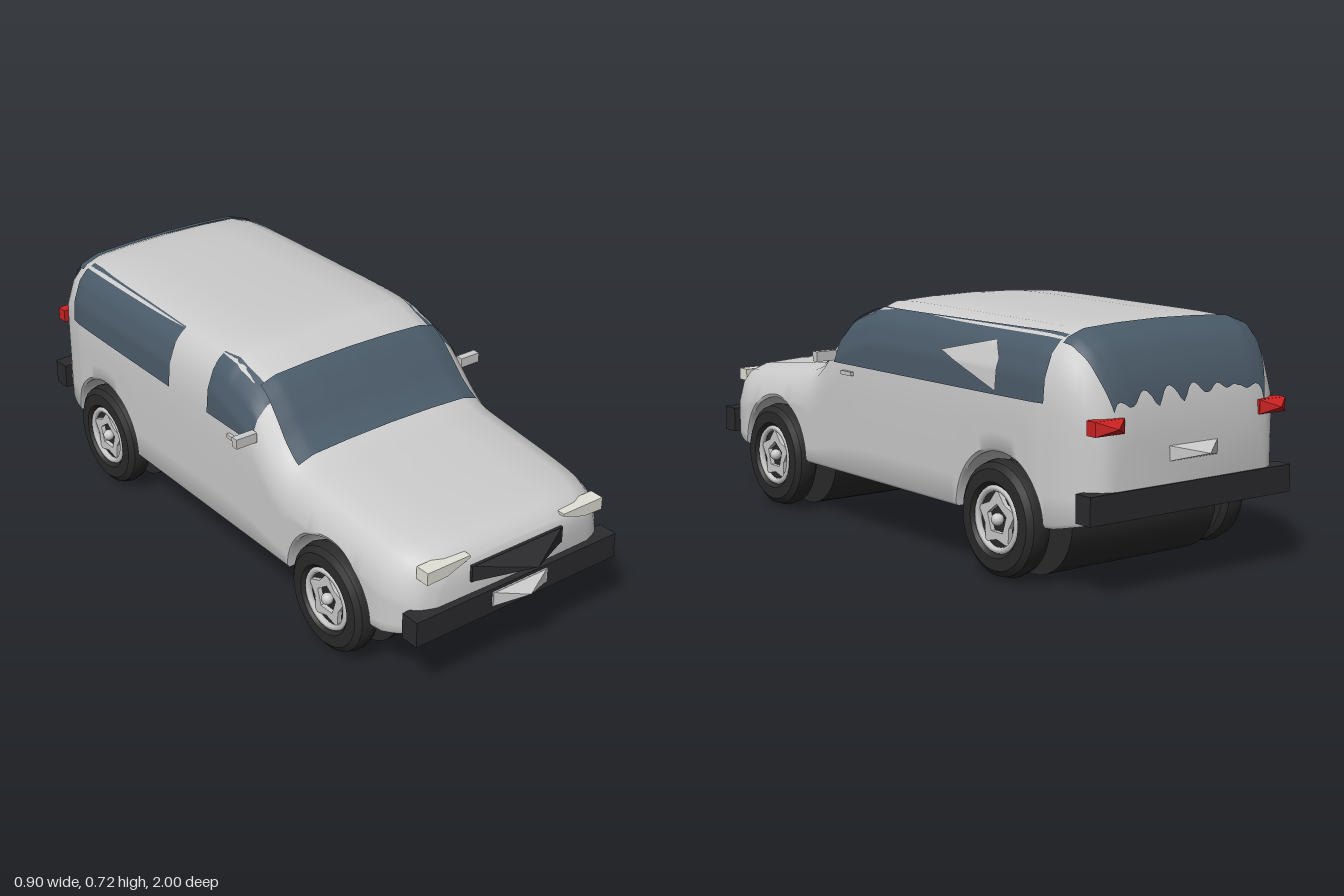
import * as THREE from 'three';
import { toCreasedNormals } from 'three/addons/utils/BufferGeometryUtils.js';

const mat = (color, extra = {}) => new THREE.MeshStandardMaterial({ color, ...extra });
const grey = mat(0xcccccc), greyFlat = mat(0xcccccc, { flatShading: true });
const black = mat(0x2b2b2e, { flatShading: true }), rubber = mat(0x2a2a2a);
const red = mat(0xcc2222, { flatShading: true }), lamp = mat(0xe2e2d8, { flatShading: true });
const glassMat = mat(0x4a5a68, { side: THREE.DoubleSide });
const panelMat = mat(0xcccccc, { side: THREE.DoubleSide });

// Piecewise lookup in a list of [x, y] with rising x
function lookup(pts, x) {
  if (x <= pts[0][0]) return pts[0][1];
  for (let i = 1; i < pts.length; i++) {
    const [x0, y0] = pts[i - 1], [x1, y1] = pts[i];
    if (x <= x1) return y0 + (y1 - y0) * (x - x0) / (x1 - x0);
  }
  return pts[pts.length - 1][1];
}
const smooth = pts => new THREE.SplineCurve(pts.map(p => new THREE.Vector2(...p)))
  .getPoints(160).map(p => [p.x, p.y]);

// Body rules: roof line, plan half width and shoulder rounding
const roofLine = smooth([[-0.935, 0.43], [-0.92, 0.535], [-0.885, 0.62], [-0.835, 0.68], [-0.75, 0.706],
  [-0.4, 0.713], [0, 0.715], [0.1, 0.695], [0.19, 0.66], [0.25, 0.605], [0.31, 0.54], [0.38, 0.497],
  [0.5, 0.478], [0.7, 0.456], [0.83, 0.438], [0.88, 0.42], [0.91, 0.39]]);
const planLine = smooth([[-0.935, 0.27], [-0.92, 0.305], [-0.87, 0.348], [-0.78, 0.378], [-0.6, 0.388],
  [0.3, 0.388], [0.72, 0.385], [0.83, 0.367], [0.885, 0.33], [0.91, 0.28]]);
const shoulder = [[0, 0], [0.003, 0.4], [0.01, 0.72], [0.03, 0.87], [0.065, 0.95], [0.13, 1]];
const shoulderInv = shoulder.map(([d, f]) => [f, d]);
const sill = [[-0.935, 0.21], [-0.8, 0.18], [-0.7, 0.175], [0.7, 0.175], [0.8, 0.18], [0.91, 0.21]];
const axles = [0.575, -0.585], axleY = 0.17, archR = 0.185;

const top = z => lookup(roofLine, z);
const plan = z => lookup(planLine, z);
const taper = y => 1 - 0.05 * THREE.MathUtils.clamp((y - 0.48) / 0.23, 0, 1);
const halfWidth = (y, z) => plan(z) * lookup(shoulder, top(z) - y) * taper(y);
function bottom(z) {
  let b = lookup(sill, z);
  for (const c of axles) {
    const q = archR ** 2 - (z - c) ** 2;
    if (q > 0) b = Math.max(b, axleY + Math.sqrt(q));
  }
  return b;
}

// Body shell: cross-sections along z, with the wheel arches cut right through
function bodyGeometry() {
  const zs = [];
  for (let i = 0; i <= 80; i++) zs.push(-0.935 + 1.845 * i / 80);
  for (const c of axles) for (let i = 0; i <= 28; i++) zs.push(c - archR * Math.cos(Math.PI * i / 28));
  for (const e of [0.004, 0.008, 0.015]) zs.push(-0.935 + e, 0.91 - e);
  zs.sort((a, b) => a - b);
  const pos = [], index = [];
  let n = 0;
  for (const z of zs) {
    const B = bottom(z), T = top(z), low = Math.min(B + 0.01, T - 0.02), high = Math.max(T - 0.13, low);
    const half = [[0, B], [halfWidth(B, z) * 0.98, B]];
    for (let k = 0; k < 5; k++) half.push(low + (high - low) * k / 5);
    for (const [d] of [...shoulder].reverse()) half.push(Math.max(T - d, low));
    const right = half.map(p => Array.isArray(p) ? p : [halfWidth(p, z), p]);
    const left = right.slice(1, -1).reverse().map(([x, y]) => [-x, y]);
    const ring = [...right, ...left];
    n = ring.length;
    ring.forEach(([x, y]) => pos.push(x, y, z));
  }
  const rows = zs.length;
  for (let i = 0; i < rows - 1; i++) for (let j = 0; j < n; j++) {
    const a = i * n + j, b = i * n + (j + 1) % n;
    index.push(a, b, b + n, a, b + n, a + n);
  }
  const back = rows * n, front = back + 1, last = (rows - 1) * n;
  pos.push(0, 0.32, -0.937, 0, 0.3, 0.914);
  for (let j = 0; j < n; j++) {
    const k = (j + 1) % n;
    index.push(back, k, j, front, last + j, last + k);
  }
  const g = new THREE.BufferGeometry();
  g.setAttribute('position', new THREE.Float32BufferAttribute(pos, 3));
  g.setIndex(index);
  return toCreasedNormals(g, 0.7);
}

// Curved sheet from a rule f(u, v) -> [x, y, z]
function sheet(f, nu, nv) {
  const g = new THREE.PlaneGeometry(1, 1, nu, nv), p = g.attributes.position;
  for (let i = 0; i < p.count; i++) p.setXYZ(i, ...f(p.getX(i) + 0.5, p.getY(i) + 0.5));
  g.computeVertexNormals();
  return g;
}
const sidePatch = (s, z0, z1, lo, hi, off) => sheet((u, v) => {
  const z = z0 + (z1 - z0) * u, y = lo(u, z) + (hi(u, z) - lo(u, z)) * v;
  return [s * (halfWidth(y, z) + off), y, z];
}, 40, 12);
const roofPatch = (zAt, reach, dz) => sheet((u, v) => {
  const f = (u * 2 - 1) * reach, z = zAt(u, v), y = top(z) - lookup(shoulderInv, Math.abs(f));
  return [plan(z) * f * taper(y), y + 0.006, z + dz];
}, 48, 28);

// Four-sided point facing +z (or -z)
function point(w, h, d, back) {
  const g = new THREE.ConeGeometry(Math.SQRT1_2, 1, 4).rotateY(Math.PI / 4).translate(0, 0.5, 0).rotateX(Math.PI / 2);
  g.scale(w, h, d);
  return back ? g.rotateY(Math.PI) : g;
}

function wheel() {
  const w = new THREE.Group();
  const add = (name, g, m, x = 0) => {
    const o = new THREE.Mesh(g, m);
    o.name = name; o.position.x = x; w.add(o);
    return o;
  };
  // Lathe axis turned onto +x, outer face towards +x
  const profile = [[0, -0.04], [0.14, -0.04], [0.157, -0.028], [0.164, 0], [0.157, 0.026], [0.14, 0.039],
    [0.105, 0.04], [0.095, 0.03], [0.09, 0.012], [0, 0.012]].map(p => new THREE.Vector2(...p));
  add('tyre', toCreasedNormals(new THREE.LatheGeometry(profile, 28).rotateZ(-Math.PI / 2), 0.6), rubber);
  add('rimRing', new THREE.TorusGeometry(0.086, 0.01, 6, 28).rotateY(Math.PI / 2), grey, 0.026);
  const star = new THREE.Shape(), hole = new THREE.Path();
  for (let i = 0; i < 10; i++) {
    const a = Math.PI * i / 5, r = i % 2 ? 0.055 : 0.084;
    star[i ? 'lineTo' : 'moveTo'](r * Math.sin(a), r * Math.cos(a));
  }
  for (let i = 0; i < 5; i++) {
    const a = -Math.PI * 2 * i / 5;
    hole[i ? 'lineTo' : 'moveTo'](0.043 * Math.sin(a), 0.043 * Math.cos(a));
  }
  star.holes.push(hole);
  add('spokes', new THREE.ExtrudeGeometry(star, { depth: 0.014, bevelEnabled: false }).rotateY(Math.PI / 2), greyFlat, 0.015);
  add('hub', new THREE.SphereGeometry(0.018, 12, 8), grey, 0.026);
  return w;
}

export function createModel() {
  const car = new THREE.Group();
  car.name = 'car';
  const add = (name, g, m, x = 0, y = 0, z = 0) => {
    const o = new THREE.Mesh(g, m);
    o.name = name; o.position.set(x, y, z); car.add(o);
    return o;
  };
  const box = (name, m, w, h, d, x, y, z) => add(name, new THREE.BoxGeometry(w, h, d), m, x, y, z);

  add('body', bodyGeometry(), grey);

  // Glass
  add('windscreen', roofPatch((u, v) => 0.17 + 0.195 * v, 0.85, 0.003), glassMat);
  const ragged = u => 0.005 * Math.abs(Math.sin(u * 17)) + 0.003 * Math.sin(u * 41);
  add('rearWindow', roofPatch((u, v) => -0.78 - (0.145 - ragged(u)) * Math.sin(v * Math.PI / 2), 0.9, -0.005), glassMat);
  const lo = () => 0.51, hi = (u, z) => Math.min(0.688, top(z) - 0.02 - (z > -0.2 ? 0.02 * Math.max(0, 0.2 - Math.abs(z)) : 0));
  add('rightSideWindow', sidePatch(1, 0.22, -0.77, lo, hi, 0.004), glassMat);
  add('sideWindowPanel', sidePatch(1, -0.32, -0.58, u => 0.605 - 0.085 * u,
    u => 0.605 + 0.05 * Math.min(u / 0.88, 1) - 0.4 * Math.max(0, u - 0.88), 0.008), panelMat);
  add('frontSideWindow', sidePatch(-1, 0.22, 0, lo, hi, 0.004), glassMat);
  add('rearSideWindow', sidePatch(-1, -0.2, -0.77, lo, hi, 0.004), glassMat);

  // Bumpers, grille and plates
  box('frontBumper', black, 0.73, 0.078, 0.06, 0, 0.24, 0.903);
  box('rearBumper', black, 0.73, 0.078, 0.058, 0, 0.25, -0.913);
  box('grille', black, 0.33, 0.05, 0.03, 0, 0.345, 0.905);
  add('grillePoint', point(0.32, 0.048, 0.08), black, 0, 0.345, 0.92);
  box('frontPlate', greyFlat, 0.2, 0.045, 0.012, 0, 0.247, 0.932);
  add('frontPlatePoint', point(0.19, 0.043, 0.042), greyFlat, 0, 0.247, 0.938);
  add('rearPlatePoint', point(0.19, 0.045, 0.07, true), greyFlat, 0, 0.37, -0.93);

  // Headlamp outline, tapering inwards
  const lens = new THREE.Shape([[0.17, 0.398], [0.25, 0.37], [0.318, 0.368], [0.318, 0.406], [0.17, 0.406]]
    .map(p => new THREE.Vector2(...p)));
  const lensGeometry = new THREE.ExtrudeGeometry(lens, { depth: 0.045, bevelEnabled: false });

  for (const s of [1, -1]) {
    const headlamp = add('headlamp', lensGeometry.clone(), lamp, 0, 0, 0.87);
    if (s < 0) headlamp.geometry.rotateY(Math.PI).translate(0, 0, 0.045);
    box('tailLamp', red, 0.1, 0.04, 0.035, s * 0.295, 0.46, -0.918);
    add('tailLampPoint', point(0.1, 0.04, 0.035, true), red, s * 0.295, 0.46, -0.935);
    box('mirror', greyFlat, 0.07, 0.03, 0.024, s * 0.415, 0.53, 0.228);
    box('doorHandle', greyFlat, 0.016, 0.012, 0.055, s * 0.39, 0.485, 0.14);
    for (const z of axles) {
      const w = wheel();
      w.name = 'wheel';
      w.position.set(s * 0.36, axleY, z);
      if (s < 0) w.rotation.y = Math.PI;
      car.add(w);
    }
  }
  // Broad drums between the wheels
  for (const z of axles)
    add('axleDrum', new THREE.CylinderGeometry(0.17, 0.17, 0.53, 32).rotateZ(Math.PI / 2), rubber, 0, axleY, z);
  return car;
}
